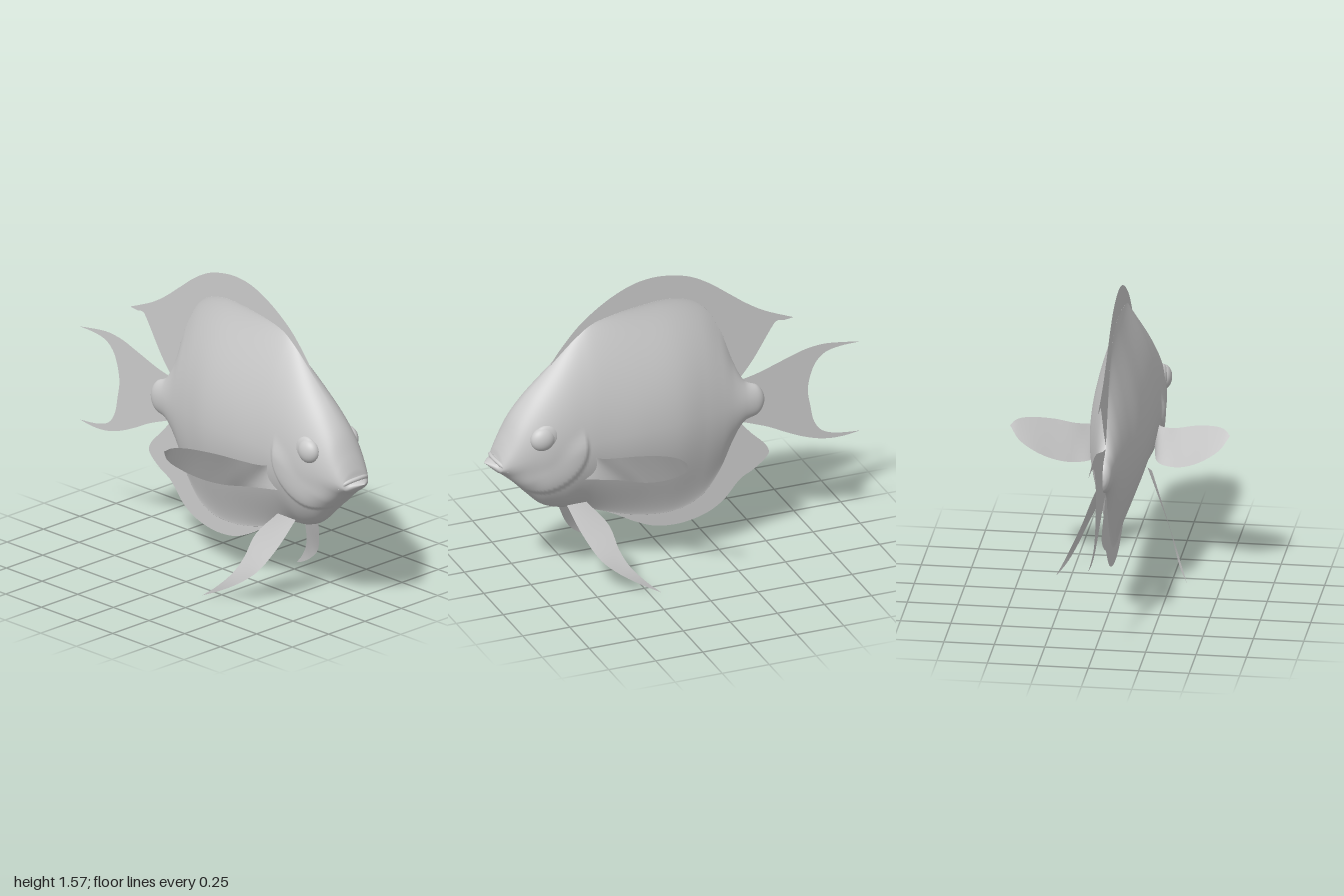
import * as THREE from 'three';
import { ParametricGeometry } from 'three/addons/geometries/ParametricGeometry.js';
import { mergeVertices } from 'three/addons/utils/BufferGeometryUtils.js';

const skin = new THREE.MeshStandardMaterial({ color: 0xcccccc });
const thin = new THREE.MeshStandardMaterial({ color: 0xcccccc, side: THREE.DoubleSide });

function addMesh(parent, name, geometry, material) {
  const mesh = new THREE.Mesh(geometry, material);
  mesh.name = name;
  parent.add(mesh);
  return mesh;
}

// Weld a parametric surface so its normals run smoothly across the seam
function smoothSurface(fn, nu, nv) {
  const g = new ParametricGeometry(fn, nu, nv);
  g.deleteAttribute('uv');
  g.deleteAttribute('normal');
  const welded = mergeVertices(g, 1e-5);
  welded.computeVertexNormals();
  return welded;
}

// Body sections, nose to tail: z, widest height, top, bottom, half width, edge sharpness
const sections = [
  [1.0, 0.72, 0.72, 0.72, 0, 0.5],
  [0.97, 0.71, 0.728, 0.692, 0.045, 0.5],
  [0.945, 0.70, 0.738, 0.67, 0.075, 0.5],
  [0.93, 0.71, 0.78, 0.66, 0.09, 0.5],
  [0.9, 0.73, 0.85, 0.635, 0.108, 0.5],
  [0.85, 0.75, 0.95, 0.59, 0.128, 0.5],
  [0.78, 0.77, 1.045, 0.515, 0.145, 0.55],
  [0.7, 0.78, 1.13, 0.44, 0.156, 0.6],
  [0.6, 0.79, 1.23, 0.4, 0.158, 0.7],
  [0.5, 0.79, 1.32, 0.385, 0.156, 0.9],
  [0.4, 0.8, 1.38, 0.345, 0.152, 1.1],
  [0.2, 0.8, 1.42, 0.28, 0.147, 1.35],
  [0, 0.8, 1.43, 0.26, 0.13, 1.4],
  [-0.15, 0.8, 1.37, 0.31, 0.095, 1.4],
  [-0.25, 0.8, 1.22, 0.43, 0.07, 1.3],
  [-0.32, 0.8, 1.03, 0.58, 0.054, 1.0],
  [-0.38, 0.8, 0.91, 0.68, 0.045, 0.6],
  [-0.45, 0.795, 0.87, 0.71, 0.038, 0.5],
  [-0.48, 0.79, 0.83, 0.75, 0.022, 0.5],
  [-0.49, 0.79, 0.79, 0.79, 0, 0.5],
];

// Raised gill cover: swells towards a circular rim, then drops sharply
function gillBulge(z, y) {
  const dz = z - 0.74, dy = y - 0.78;
  const r = Math.hypot(dz, dy);
  const rim = THREE.MathUtils.smoothstep(r, 0.06, 0.21) * (1 - THREE.MathUtils.smoothstep(r, 0.222, 0.238));
  const lowerBack = 1 - THREE.MathUtils.smoothstep(dy + dz * 0.6, -0.13, -0.02);
  return 0.014 * rim * lowerBack;
}

function bodyGeometry() {
  const spline = new THREE.CubicInterpolant(sections.map((_, i) => i), sections.flat(), 6);
  return smoothSurface((u, v, target) => {
    const [z, yc, top, bottom, w, p] = spline.evaluate(u * (sections.length - 1));
    const a = v * Math.PI * 2, s = Math.sin(a), c = Math.cos(a);
    const y = yc + s * (s > 0 ? top - yc : yc - bottom);
    let x = Math.sign(c) * Math.max(w, 0) * Math.pow(Math.abs(c), 2 * p);
    x += Math.sign(c) * gillBulge(z, y) * Math.min(1, Math.abs(x) / 0.05);
    target.set(x, y, z);
  }, 190, 120);
}

// Flat fin on the middle plane; each run of [z, y] points is smooth, runs meet in corners
function medianFin(...runs) {
  const shape = new THREE.Shape();
  shape.moveTo(...runs[0][0]);
  runs.forEach((run, i) => {
    const pts = i === 0 ? run.slice(1) : run;
    shape.splineThru(pts.map(([z, y]) => new THREE.Vector2(z, y)));
  });
  return new THREE.ShapeGeometry(shape, 8).rotateY(-Math.PI / 2);
}

// Paired fin: a surface stretched between two edge curves
function pairedFin(edgeA, edgeB, side) {
  const [a, b] = [edgeA, edgeB].map(
    (e) => new THREE.CatmullRomCurve3(e.map(([x, y, z]) => new THREE.Vector3(x * side, y, z))));
  return smoothSurface((u, v, target) => target.copy(a.getPoint(u)).lerp(b.getPoint(u), v), 32, 6);
}

export function createModel() {
  const fish = new THREE.Group();
  fish.name = 'fish';

  addMesh(fish, 'body', bodyGeometry(), skin);

  addMesh(fish, 'dorsalFin', medianFin(
    [[0.65, 1.18], [0.6, 1.255], [0.5, 1.37], [0.4, 1.45], [0.3, 1.51], [0.2, 1.55], [0.1, 1.565], [0, 1.557],
      [-0.1, 1.53], [-0.2, 1.475], [-0.3, 1.4], [-0.4, 1.325], [-0.5, 1.265], [-0.645, 1.203]],
    [[-0.6, 1.197], [-0.56, 1.2], [-0.53, 1.17], [-0.43, 1.01], [-0.35, 0.91]],
    [[-0.2, 0.85], [0.3, 0.95], [0.6, 1.1]],
  ), thin);

  addMesh(fish, 'analFin', medianFin(
    [[0.42, 0.36], [0.3, 0.3], [0.2, 0.243], [0.1, 0.2], [0, 0.185], [-0.1, 0.192], [-0.2, 0.222], [-0.28, 0.275],
      [-0.36, 0.365], [-0.43, 0.405], [-0.49, 0.45], [-0.515, 0.49], [-0.49, 0.54], [-0.42, 0.61], [-0.35, 0.69]],
    [[-0.2, 0.75], [0.2, 0.6], [0.4, 0.45]],
  ), thin);

  addMesh(fish, 'tailFin', medianFin(
    [[-0.33, 0.905], [-0.45, 0.93], [-0.6, 0.98], [-0.7, 1.012], [-0.8, 1.025], [-0.9, 1.016], [-1, 1.0]],
    [[-0.9, 0.997], [-0.82, 0.98], [-0.77, 0.94], [-0.74, 0.88], [-0.722, 0.79], [-0.735, 0.7], [-0.755, 0.61],
      [-0.8, 0.55], [-0.88, 0.522], [-1, 0.51]],
    [[-0.9, 0.498], [-0.8, 0.505], [-0.7, 0.535], [-0.6, 0.58], [-0.5, 0.63], [-0.34, 0.69]],
  ), thin);

  // Upper lip arching over the jaw
  const lip = new THREE.CatmullRomCurve3([
    [-0.088, 0.695, 0.905], [-0.07, 0.725, 0.935], [0, 0.738, 0.952], [0.07, 0.725, 0.935], [0.088, 0.695, 0.905],
  ].map((p) => new THREE.Vector3(...p)));
  addMesh(fish, 'upperLip', new THREE.TubeGeometry(lip, 32, 0.011, 10), skin);

  for (const [side, label] of [[1, 'left'], [-1, 'right']]) {
    // Eyeball sitting forward in a shallow socket
    const eye = addMesh(fish, label + 'Eye', new THREE.SphereGeometry(1, 32, 24), skin);
    eye.scale.set(0.043, 0.062, 0.064);
    eye.position.set(side * 0.133, 0.862, 0.742);
    const socket = addMesh(fish, label + 'EyeSocket', new THREE.SphereGeometry(1, 32, 24), skin);
    socket.scale.set(0.03, 0.067, 0.072);
    socket.position.set(side * 0.131, 0.865, 0.724);

    addMesh(fish, label + 'PectoralFin', pairedFin(
      [[0.12, 0.72, 0.49], [0.17, 0.715, 0.45], [0.25, 0.742, 0.375], [0.35, 0.785, 0.31], [0.47, 0.822, 0.22],
        [0.52, 0.823, 0.175], [0.545, 0.805, 0.145]],
      [[0.12, 0.59, 0.52], [0.16, 0.57, 0.34], [0.25, 0.582, 0.255], [0.34, 0.62, 0.19], [0.43, 0.68, 0.14],
        [0.5, 0.74, 0.126], [0.545, 0.805, 0.145]],
      side), thin);

    addMesh(fish, label + 'PelvicFin', pairedFin(
      [[0.075, 0.44, 0.59], [0.14, 0.3, 0.535], [0.205, 0.17, 0.46], [0.24, 0.1, 0.38], [0.28, 0.04, 0.28],
        [0.325, 0, 0.19]],
      [[0.11, 0.46, 0.5], [0.17, 0.34, 0.405], [0.215, 0.22, 0.37], [0.25, 0.14, 0.33], [0.29, 0.06, 0.26],
        [0.325, 0, 0.19]],
      side), thin);
  }
  return fish;
}
